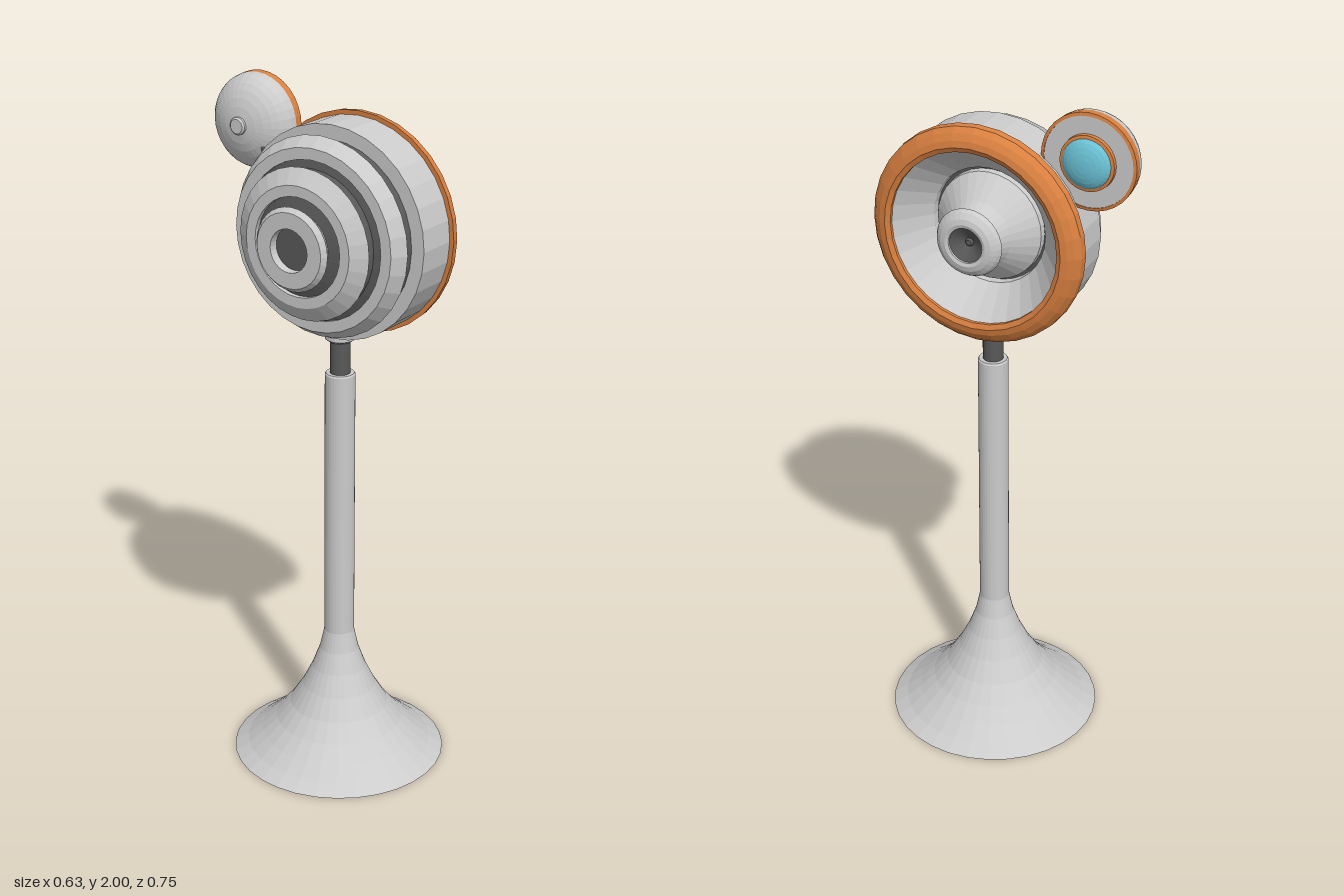
import * as THREE from 'three';

const material = (color) => new THREE.MeshStandardMaterial({ color, flatShading: true });
const grey = material(0xcccccc);
const dark = material(0x595959);
const orange = material(0xd98040);
const blue = material(0x6cc4d8);

// Turned part: profile of [height, radius] pairs, bottom to top.
function turned(name, profile, mat, segments = 32) {
  const points = profile.map(([h, r]) => new THREE.Vector2(r, h));
  const mesh = new THREE.Mesh(new THREE.LatheGeometry(points, segments), mat);
  mesh.name = name;
  return mesh;
}

// Group whose turned parts run along +x instead of +y.
function sideways(name, y, z) {
  const group = new THREE.Group();
  group.name = name;
  group.position.set(0, y, z);
  group.rotation.z = -Math.PI / 2;
  return group;
}

function createStand() {
  const stand = new THREE.Group();
  stand.name = 'stand';
  stand.position.z = 0.06;
  stand.add(
    turned('flaredPost', [
      [0, 0], [0, 0.313], [0.025, 0.272], [0.06, 0.23], [0.1, 0.187], [0.15, 0.145],
      [0.21, 0.108], [0.27, 0.079], [0.33, 0.057], [0.39, 0.044], [1.195, 0.043], [1.2, 0.04], [1.2, 0],
    ], grey),
    turned('neck', [[1.19, 0], [1.19, 0.029], [1.31, 0.029], [1.31, 0]], dark, 24),
    turned('collar', [[1.295, 0], [1.295, 0.034], [1.302, 0.043], [1.325, 0.043], [1.325, 0]], grey, 24),
  );
  return stand;
}

function createHead() {
  const head = sideways('head', 1.615, 0.06);
  head.add(
    // Open drum shell
    turned('drum', [[-0.048, 0.2], [-0.048, 0.3], [0.08, 0.3], [0.08, 0.28]], grey),
    turned('rimRing', [
      [0.11, 0.248], [0.078, 0.25], [0.078, 0.313], [0.098, 0.311], [0.114, 0.298],
      [0.125, 0.28], [0.129, 0.262], [0.122, 0.248], [0.11, 0.248],
    ], orange),
    // Recessed front cone, centre cone and cap
    turned('frontCone', [[0.115, 0.25], [0.02, 0.168], [0, 0.166]], grey),
    turned('backPlate', [[0, 0.19], [0, 0]], dark),
    turned('centreCone', [[0.002, 0.158], [0.02, 0.156], [0.08, 0.095], [0.135, 0.06]], grey),
    turned('centreCap', [
      [0.13, 0.05], [0.13, 0.09], [0.138, 0.097], [0.15, 0.09], [0.161, 0.075],
      [0.165, 0.06], [0.162, 0.05], [0.13, 0.045],
    ], grey),
    turned('capHollow', [[0.158, 0.051], [0.135, 0.012], [0.142, 0.008], [0.144, 0]], dark),
    // Stepped rear core with flared fins
    turned('rearCore', [
      [-0.212, 0], [-0.212, 0.07], [-0.2, 0.095], [-0.185, 0.15], [-0.155, 0.184],
      [-0.135, 0.2], [-0.125, 0.235], [-0.092, 0.25], [-0.045, 0.262], [-0.045, 0],
    ], dark),
  );
  // Fins: [rear x, edge x, front x, inner radius, rear radius, edge radius, front radius]
  const fins = [
    [-0.135, -0.095, -0.088, 0.222, 0.254, 0.28, 0.245],
    [-0.202, -0.172, -0.152, 0.138, 0.168, 0.211, 0.183],
    [-0.239, -0.225, -0.2, 0.06, 0.104, 0.116, 0.1],
  ];
  for (const [xr, xe, xf, ri, rr, re, rf] of fins) {
    head.add(turned('rearFin', [[xf, ri], [xr, ri], [xr, rr], [xe, re], [xf, rf], [xf, ri]], grey));
  }
  return head;
}

function createDish() {
  const dish = sideways('dish', 1.868, -0.243);
  // Quarter-ellipse shell profile
  const shell = [];
  for (let i = 0; i <= 8; i++) {
    const a = (i / 8) * Math.PI / 2;
    shell.push([0.03 - 0.085 * Math.cos(a), 0.134 * Math.sin(a)]);
  }
  const lens = [];
  for (let i = 0; i <= 6; i++) {
    const a = (i / 6) * Math.PI / 2;
    lens.push([0.06 + 0.028 * Math.sin(a), 0.07 * Math.cos(a)]);
  }
  dish.add(
    turned('dishShell', shell, grey),
    turned('dishBand', [[0.03, 0.134], [0.052, 0.135], [0.054, 0.126], [0.05, 0.126]], orange),
    turned('dishFace', [[0.052, 0.127], [0.052, 0]], grey),
    turned('lensRing', [[0.05, 0.078], [0.063, 0.077], [0.065, 0.068], [0.055, 0.068]], orange),
    turned('lens', lens, blue),
    turned('rearKnob', [[-0.065, 0], [-0.065, 0.02], [-0.06, 0.025], [-0.04, 0.025]], grey, 20),
  );
  return dish;
}

// Bracket from the dish down to the drum
function createArm() {
  const path = new THREE.LineCurve3(
    new THREE.Vector3(-0.035, 1.862, -0.235), new THREE.Vector3(0, 1.76, -0.12));
  const arm = new THREE.Mesh(new THREE.TubeGeometry(path, 1, 0.018, 12), dark);
  arm.name = 'dishArm';
  return arm;
}

export function createModel() {
  const model = new THREE.Group();
  model.name = 'standingSpeaker';
  model.add(createStand(), createHead(), createDish(), createArm());
  return model;
}
